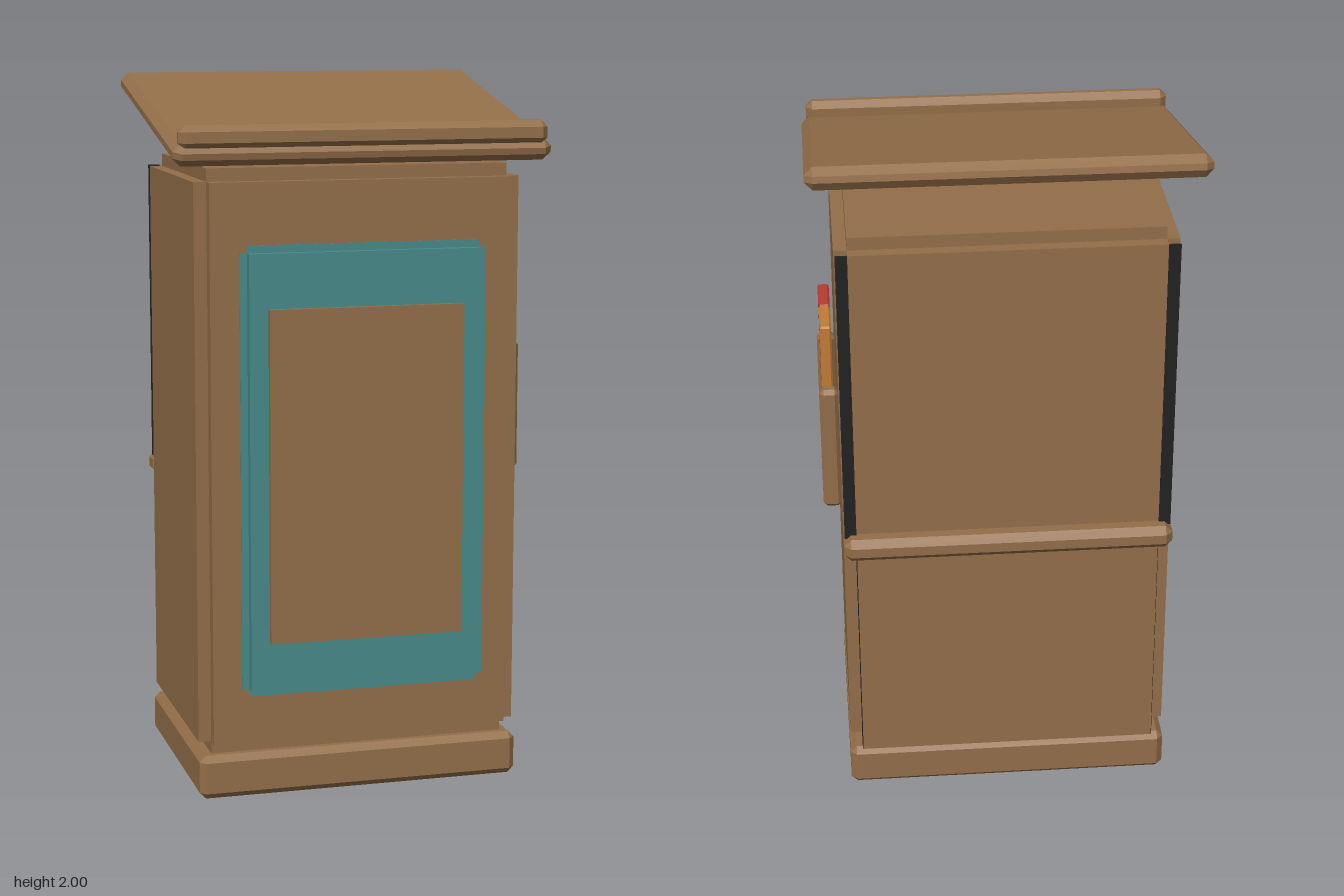
import * as THREE from 'three';
import { ConvexGeometry } from 'three/addons/geometries/ConvexGeometry.js';

const mat = (name, color) => {
  const m = new THREE.MeshStandardMaterial({ color });
  m.name = name;
  return m;
};

export function createModel() {
  const wood = mat('brown wood', 0x936e49);
  const teal = mat('teal', 0x488a8a);
  const red = mat('red', 0xb53b32);
  const orange = mat('orange', 0xc47c36);
  const dark = mat('near black', 0x222222);
  const root = new THREE.Group();
  root.name = 'cabinet';

  const place = (name, geo, material, x, y, z, parent = root) => {
    const mesh = new THREE.Mesh(geo, material);
    mesh.name = name;
    mesh.position.set(x, y, z);
    parent.add(mesh);
    return mesh;
  };

  // Ranges are [min, max]
  const mid = (r) => (r[0] + r[1]) / 2;
  const len = (r) => r[1] - r[0];
  const box = (name, material, x, y, z, parent) =>
    place(name, new THREE.BoxGeometry(len(x), len(y), len(z)), material, mid(x), mid(y), mid(z), parent);

  // Box with every edge chamfered by c
  const chamferGeo = (w, h, d, c) => {
    const pts = [];
    for (const sx of [-1, 1]) for (const sy of [-1, 1]) for (const sz of [-1, 1]) {
      const a = w / 2, b = h / 2, e = d / 2;
      pts.push(new THREE.Vector3(sx * a, sy * (b - c), sz * (e - c)));
      pts.push(new THREE.Vector3(sx * (a - c), sy * b, sz * (e - c)));
      pts.push(new THREE.Vector3(sx * (a - c), sy * (b - c), sz * e));
    }
    return new ConvexGeometry(pts);
  };
  const chamferBox = (name, material, x, y, z, c, parent) =>
    place(name, chamferGeo(len(x), len(y), len(z), c), material, mid(x), mid(y), mid(z), parent);

  // Box with stepped edges: three crossing boxes, each full size on one axis
  const steppedBox = (name, material, x, y, z, step, zStep = step) => {
    const g = new THREE.Group();
    g.name = name;
    root.add(g);
    const inset = (r, s) => [r[0] + s, r[1] - s];
    const xi = inset(x, step), yi = inset(y, step), zi = inset(z, zStep);
    box(name + 'Width', material, x, yi, zi, g);
    box(name + 'Height', material, xi, y, zi, g);
    box(name + 'Depth', material, xi, yi, z, g);
  };

  // Base and body
  chamferBox('base', wood, [-0.465, 0.465], [0, 0.125], [-0.35, 0.338], 0.018);
  steppedBox('body', wood, [-0.463, 0.463], [0.125, 1.765], [-0.345, 0.338], 0.036);

  // Dark lining showing in the rear seams
  box('lowerLining', dark, [-0.429, 0.429], [0.124, 0.81], [-0.343, 0]);
  box('lowerBackPanel', wood, [-0.427, 0.427], [0.126, 0.81], [-0.348, -0.338]);
  for (const s of [-1, 1]) {
    const x = [0.427, 0.46].map((v) => v * s).sort((a, b) => a - b);
    box('upperBackSeam', dark, x, [0.86, 1.73], [-0.35, -0.343]);
  }

  // Rail across the back
  chamferBox('backRail', wood, [-0.463, 0.463], [0.802, 0.87], [-0.395, -0.31], 0.02);

  // Front door panel with raised centre
  steppedBox('doorFrame', teal, [-0.35, 0.35], [0.3, 1.56], [0.335, 0.385], 0.021, 0.024);
  box('doorPanel', wood, [-0.276, 0.276], [0.456, 1.388], [0.38, 0.4]);

  // Side rack with two leaflets
  const rack = new THREE.Group();
  rack.name = 'sideRack';
  root.add(rack);
  chamferBox('rackFloor', wood, [0.46, 0.514], [0.872, 0.938], [-0.19, 0.18], 0.01, rack);
  chamferBox('rackFrontPost', wood, [0.46, 0.514], [0.87, 1.246], [0.143, 0.186], 0.012, rack);
  chamferBox('rackRearPost', wood, [0.46, 0.514], [0.87, 1.246], [-0.195, -0.152], 0.012, rack);
  chamferBox('redLeaflet', red, [0.474, 0.506], [0.936, 1.42], [-0.004, 0.135], 0.005, rack);
  chamferBox('orangeLeaflet', orange, [0.474, 0.506], [0.936, 1.42], [-0.143, -0.004], 0.005, rack);

  // Sloping roof and its front lip
  const roof = place('roof', chamferGeo(1.064, 0.062, 0.81, 0.022), wood, 0, 1.887, -0.005);
  roof.rotation.x = 0.213;
  chamferBox('roofLip', wood, [-0.518, 0.518], [1.82, 1.886], [0.345, 0.397], 0.018);

  return root;
}
